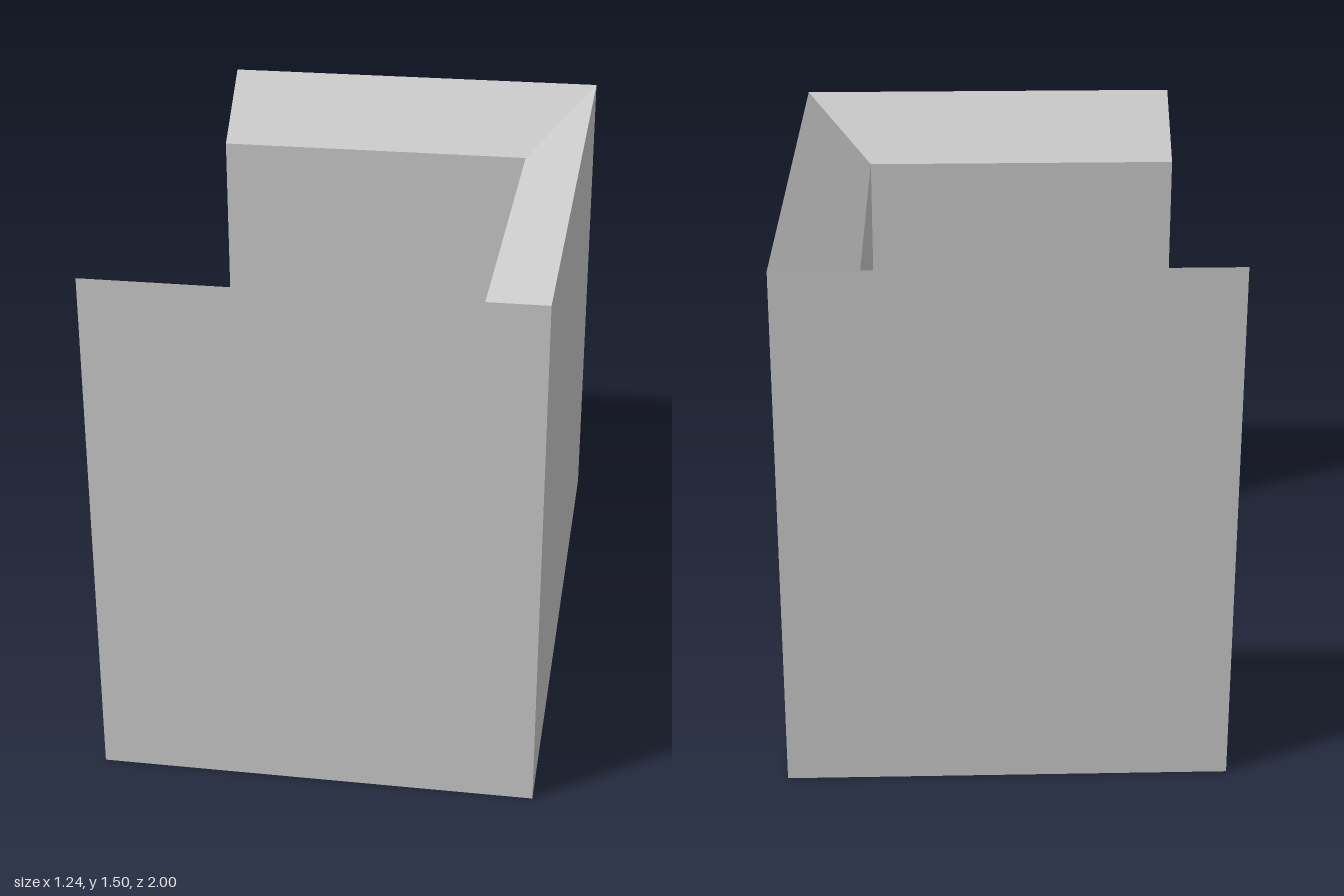
import * as THREE from 'three';

const material = new THREE.MeshStandardMaterial({ color: 0xcccccc, side: THREE.DoubleSide, flatShading: true });

function addMesh(parent, name, geometry) {
  const mesh = new THREE.Mesh(geometry, material);
  mesh.name = name;
  parent.add(mesh);
  return mesh;
}

// U-shaped hollow wall, open at the bottom, with a sloping mitred top
function wallGeometry() {
  const outer = [[-0.62, 1], [0.62, 1], [0.62, -1], [-0.62, -1]];
  const inner = [[-0.62, 0.787], [0.405, 0.787], [0.405, -0.787], [-0.62, -0.787]];
  const sections = outer.map(([ox, oz], i) => {
    const [ix, iz] = inner[i];
    return [[ox, 0, oz], [ox, 1.5, oz], [ix, 1.3, iz], [ix, 0, iz]];
  });
  const positions = [];
  const quad = (a, b, c, d) => positions.push(...a, ...b, ...c, ...a, ...c, ...d);
  for (let i = 0; i < 3; i++) {
    const p = sections[i], q = sections[i + 1];
    for (let j = 0; j < 3; j++) quad(p[j], q[j], q[j + 1], p[j + 1]);
  }
  quad(...sections[0]);
  quad(...[...sections[3]].reverse());
  const geometry = new THREE.BufferGeometry();
  geometry.setAttribute('position', new THREE.Float32BufferAttribute(positions, 3));
  geometry.computeVertexNormals();
  return geometry;
}

// Flat U-shaped bench with long slots (shape y becomes z)
function benchGeometry() {
  const outline = [
    [-0.595, -0.745], [0.365, -0.745], [0.365, 0.755], [-0.595, 0.755],
    [-0.595, 0.54], [0.155, 0.54], [0.155, -0.53], [-0.595, -0.53],
  ];
  const shape = new THREE.Shape(outline.map(([x, z]) => new THREE.Vector2(x, z)));
  const slots = [
    [-0.545, 0.21, -0.71, -0.675], [-0.485, 0.155, -0.61, -0.575],
    [-0.485, 0.155, 0.587, 0.625], [-0.545, 0.21, 0.685, 0.725],
    [0.2, 0.23, -0.53, 0.54], [0.3, 0.333, -0.59, 0.6],
  ];
  for (const [x0, x1, z0, z1] of slots) {
    shape.holes.push(new THREE.Path([[x0, z0], [x0, z1], [x1, z1], [x1, z0]]
      .map(([x, z]) => new THREE.Vector2(x, z))));
  }
  const geometry = new THREE.ExtrudeGeometry(shape, { depth: 0.03, bevelEnabled: false });
  return geometry.rotateX(Math.PI / 2).translate(0, 0.19, 0);
}

// Box leg narrowing towards the floor
function legGeometry() {
  const geometry = new THREE.BoxGeometry(0.05, 0.16, 0.14).translate(0, 0.08, 0);
  const pos = geometry.attributes.position;
  for (let i = 0; i < pos.count; i++) {
    if (pos.getY(i) < 0.01) {
      pos.setX(i, pos.getX(i) * 0.5);
      pos.setZ(i, pos.getZ(i) * 0.28);
    }
  }
  geometry.computeVertexNormals();
  return geometry;
}

export function createModel() {
  const model = new THREE.Group();
  model.name = 'benchEnclosure';
  addMesh(model, 'wall', wallGeometry());
  addMesh(model, 'bench', benchGeometry());

  // One leg under the free end of each bench arm
  for (const [name, z] of [['frontLeg', 0.647], ['backLeg', -0.638]]) {
    addMesh(model, name, legGeometry()).position.set(-0.55, 0, z);
  }
  return model;
}
